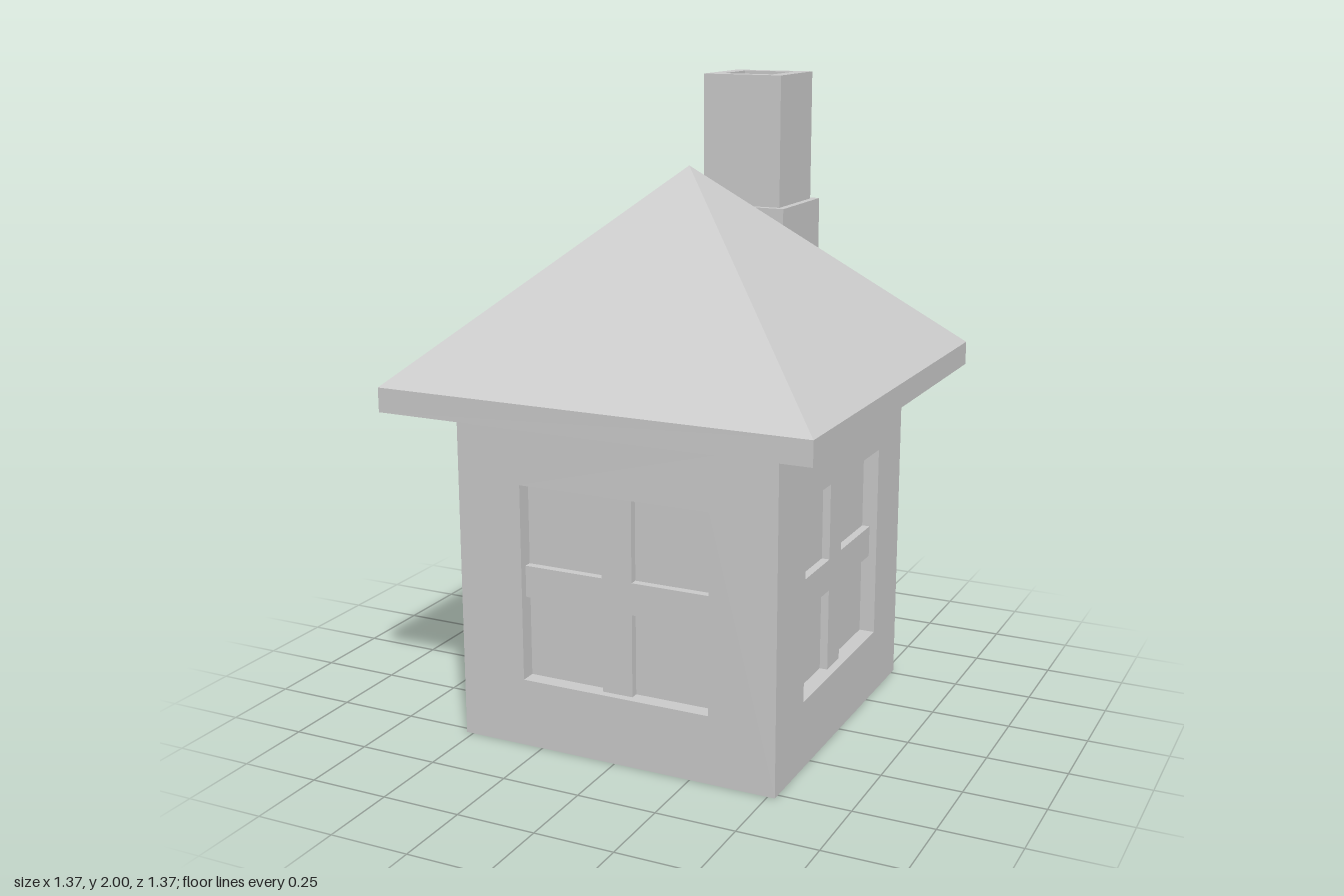
import * as THREE from 'three';

const HALF = 0.523;      // half width of the house
const WALL_TOP = 1.055;
const RECESS = 0.05;     // depth of the window openings
const WIN = 0.31;        // half size of a window
const WIN_Y = 0.525;     // window centre height
const BAR = 0.05;        // half width of the window bars

const material = new THREE.MeshStandardMaterial({ color: 0xcccccc, flatShading: true });

function add(parent, name, geometry, x = 0, y = 0, z = 0) {
  const mesh = new THREE.Mesh(geometry, material);
  mesh.name = name;
  mesh.position.set(x, y, z);
  parent.add(mesh);
  return mesh;
}

function rect(PathType, x0, y0, x1, y1) {
  return new PathType([[x0, y0], [x1, y0], [x1, y1], [x0, y1]].map(p => new THREE.Vector2(...p)));
}

const extrude = (shape, depth) => new THREE.ExtrudeGeometry(shape, { depth, bevelEnabled: false });

// Wall panel with a window opening, its back edges mitred to meet the neighbours
function wallGeometry() {
  const shape = rect(THREE.Shape, -HALF, 0, HALF, WALL_TOP);
  shape.holes.push(rect(THREE.Path, -WIN, WIN_Y - WIN, WIN, WIN_Y + WIN));
  const geometry = extrude(shape, RECESS);
  const pos = geometry.attributes.position;
  for (let i = 0; i < pos.count; i++) {
    const x = pos.getX(i);
    if (pos.getZ(i) < 0.001 && Math.abs(x) > 0.5) pos.setX(i, x - Math.sign(x) * RECESS);
  }
  geometry.computeVertexNormals();
  return geometry;
}

// Window bars as one cross
function crossGeometry() {
  const points = [];
  for (let i = 0; i < 4; i++) {
    const centre = new THREE.Vector2();
    for (const [x, y] of [[WIN, -BAR], [WIN, BAR], [BAR, BAR]]) {
      points.push(new THREE.Vector2(x, y).rotateAround(centre, i * Math.PI / 2));
    }
  }
  return extrude(new THREE.Shape(points), RECESS / 2);
}

export function createModel() {
  const house = new THREE.Group();
  house.name = 'house';

  // Inner core forms the floor and the window panes
  const inner = 2 * (HALF - RECESS);
  add(house, 'core', new THREE.BoxGeometry(inner, WALL_TOP, inner), 0, WALL_TOP / 2, 0);

  // Four identical sides
  const wall = wallGeometry();
  const cross = crossGeometry();
  ['front', 'left', 'back', 'right'].forEach((label, i) => {
    const side = new THREE.Group();
    side.name = label + 'Side';
    side.rotation.y = i * Math.PI / 2;
    add(side, label + 'Wall', wall, 0, 0, HALF - RECESS);
    add(side, label + 'WindowBars', cross, 0, WIN_Y, HALF - RECESS);
    house.add(side);
  });

  // Roof: eaves slab and pyramid
  const eave = 0.686, eaveTop = 1.13, apex = 1.745;
  add(house, 'eaves', new THREE.BoxGeometry(eave * 2, eaveTop - WALL_TOP, eave * 2),
    0, (eaveTop + WALL_TOP) / 2, 0);
  const pyramid = new THREE.ConeGeometry(eave * Math.SQRT2, apex - eaveTop, 4, 1, true);
  pyramid.rotateY(Math.PI / 4);
  add(house, 'roof', pyramid, 0, (apex + eaveTop) / 2, 0);

  // Chimney: wide base and a hollow stack
  const chimney = new THREE.Group();
  chimney.name = 'chimney';
  chimney.position.set(0.026, 0, -0.467);
  const baseBottom = 1.1, baseTop = 1.585, top = 2;
  add(chimney, 'chimneyBase', new THREE.BoxGeometry(0.312, baseTop - baseBottom, 0.312),
    0, (baseTop + baseBottom) / 2, 0);
  const ring = rect(THREE.Shape, -0.133, -0.133, 0.133, 0.133);
  ring.holes.push(rect(THREE.Path, -0.085, -0.085, 0.085, 0.085));
  const stack = extrude(ring, top - baseTop).rotateX(-Math.PI / 2);
  add(chimney, 'chimneyStack', stack, 0, baseTop, 0);
  house.add(chimney);

  return house;
}
